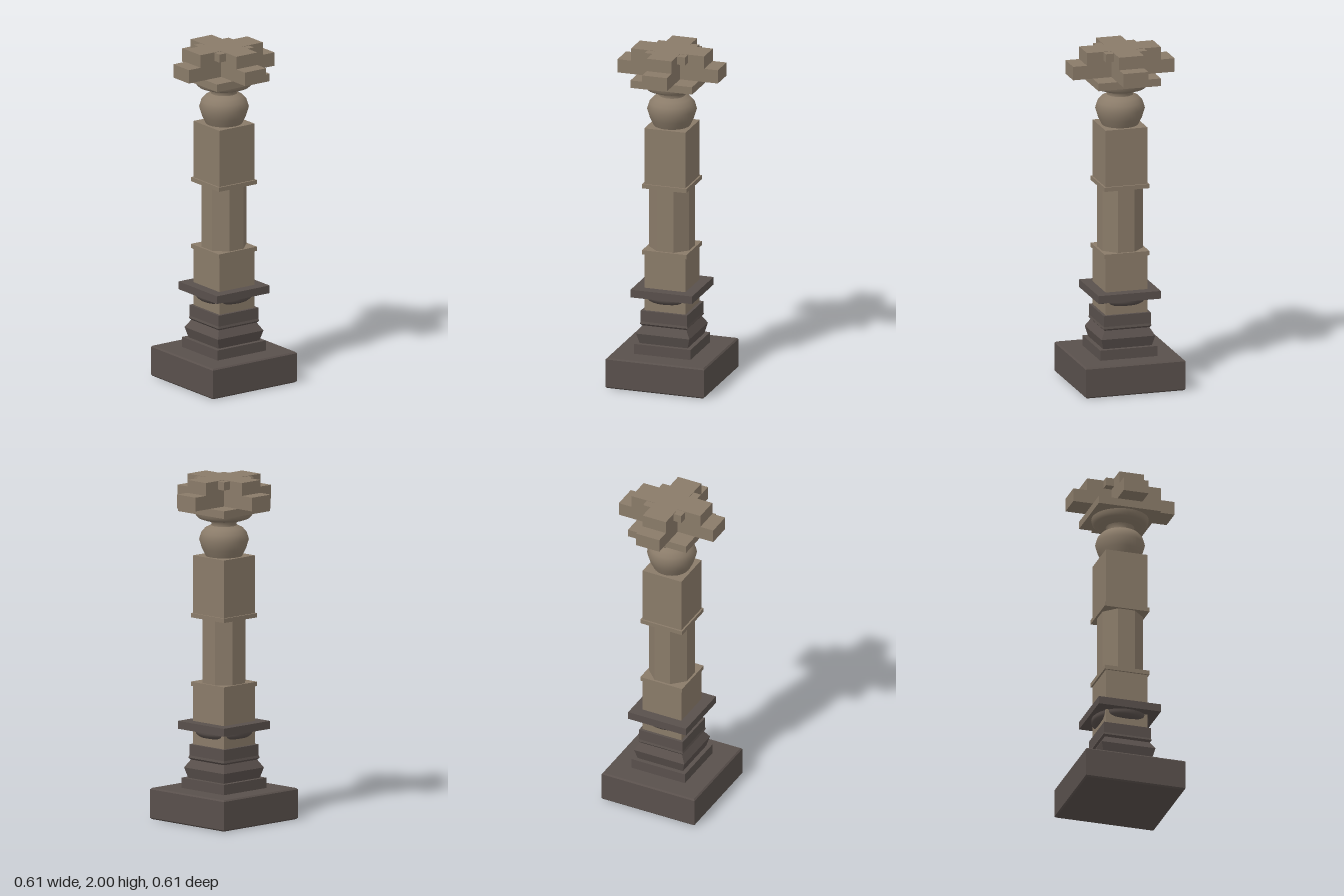
import * as THREE from 'three';

export function createModel() {
  const group = new THREE.Group();
  const sandstone = new THREE.MeshStandardMaterial({ color: 0x8a7b69 });
  sandstone.name = 'sandstone';
  const darkStone = new THREE.MeshStandardMaterial({ color: 0x59504c });
  darkStone.name = 'darkStone';

  function add(name, geometry, material, x = 0, y = 0, z = 0) {
    const mesh = new THREE.Mesh(geometry, material);
    mesh.name = name;
    mesh.position.set(x, y, z);
    group.add(mesh);
  }
  // Box given by its widths and its bottom and top heights
  function block(name, w, d, y0, y1, material, x = 0, z = 0) {
    add(name, new THREE.BoxGeometry(w, y1 - y0, d), material, x, (y0 + y1) / 2, z);
  }
  // Faceted solid of n sides from [apothem, y] points, bottom to top, closed at both ends
  function prism(name, n, profile, material) {
    const k = 1 / Math.cos(Math.PI / n);
    const pts = profile.map(([r, y]) => new THREE.Vector2(r * k, y));
    pts.unshift(new THREE.Vector2(0, pts[0].y));
    pts.push(new THREE.Vector2(0, pts[pts.length - 1].y));
    const g = new THREE.LatheGeometry(pts, n, Math.PI / n).toNonIndexed();
    g.computeVertexNormals();
    add(name, g, material);
  }
  // Smooth turned part from [radius, y] points
  function turned(name, profile, material) {
    const pts = profile.map(([r, y]) => new THREE.Vector2(r, y));
    add(name, new THREE.LatheGeometry(pts, 40), material);
  }

  // Plinth and stepped foot
  prism('plinth', 4, [[0.292, 0.003], [0.3, 0.011], [0.3, 0.177], [0.292, 0.185]], darkStone);
  block('plinthStep', 0.344, 0.344, 0.185, 0.245, darkStone);
  prism('footMoulding', 4, [[0.146, 0.245], [0.162, 0.305], [0.132, 0.355]], darkStone);
  prism('footBlock', 4, [[0.134, 0.35], [0.145, 0.362], [0.141, 0.375], [0.141, 0.44]], darkStone);

  // Lower shaft with its dark collar
  block('lowerShaft', 0.25, 0.25, 0.44, 0.78, sandstone);
  turned('collarBowl', [[0, 0.487], [0.125, 0.487], [0.145, 0.492], [0.16, 0.504],
    [0.165, 0.518], [0.165, 0.535]], darkStone);
  block('collarSlab', 0.374, 0.374, 0.53, 0.576, darkStone);

  // Octagonal middle between two thin bands, then the square upper shaft
  block('lowerBand', 0.27, 0.27, 0.78, 0.805, sandstone);
  prism('octagonalShaft', 8, [[0.122, 0.805], [0.122, 1.18]], sandstone);
  block('upperBand', 0.27, 0.27, 1.18, 1.205, sandstone);
  block('upperShaft', 0.25, 0.25, 1.205, 1.542, sandstone);

  // Ball, neck and flared echinus
  turned('ball', [[0.105, 1.54], [0.127, 1.585], [0.143, 1.638], [0.131, 1.678],
    [0.108, 1.704], [0.075, 1.72]], sandstone);
  turned('neck', [[0.078, 1.712], [0.07, 1.728], [0.084, 1.75]], sandstone);
  turned('echinus', [[0.08, 1.748], [0.115, 1.752], [0.148, 1.764], [0.162, 1.778], [0.166, 1.803]], sandstone);

  // Capital: abacus and two stacked crosses
  block('abacus', 0.375, 0.375, 1.8, 1.845, sandstone);
  block('crossCentre', 0.15, 0.15, 1.845, 2, sandstone);
  for (let i = 0; i < 4; i++) {
    const a = (i * Math.PI) / 2;
    const c = Math.round(Math.cos(a)), s = Math.round(Math.sin(a));
    const arm = (name, from, to, y0, y1) => {
      const len = to - from, mid = (from + to) / 2;
      block(name, c ? len : 0.15, c ? 0.15 : len, y0, y1, sandstone, c * mid, s * mid);
    };
    arm('upperArm', 0.075, 0.222, 1.845, 2);
    arm('lowerArm', 0.222, 0.305, 1.845, 1.925);
    // Small cube in each inner corner
    block('cornerCube', 0.049, 0.049, 1.95, 1.998, sandstone, (c - s) * 0.099, (c + s) * 0.099);
  }
  return group;
}
